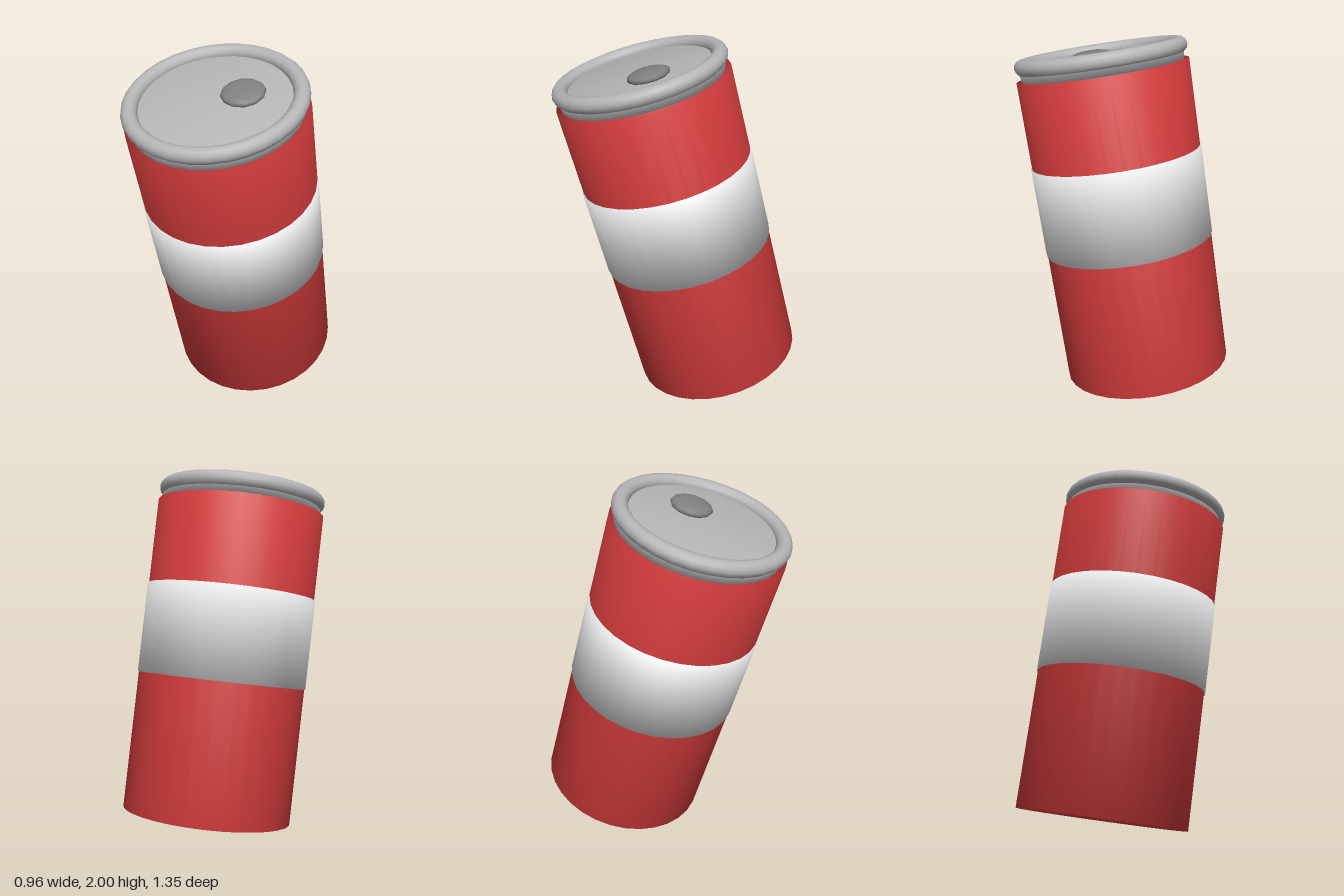
import * as THREE from 'three';

const SIDES = 32;

const material = (name, color) => {
  const m = new THREE.MeshStandardMaterial({ color });
  m.name = name;
  return m;
};

// Closed drum whose normals blend smoothly over the rims
function drum(bottomRadius, topRadius, y0, y1) {
  const profile = [[0, y0], [bottomRadius, y0], [topRadius, y1], [0, y1]];
  return new THREE.LatheGeometry(profile.map(([r, y]) => new THREE.Vector2(r, y)), SIDES);
}

export function createModel() {
  const red = material('red paint', 0xd13b3b);
  const white = material('white paint', 0xeeeeee);
  const metal = material('light metal', 0xb5b5b8);
  const darkMetal = material('dark metal', 0x808083);

  const can = new THREE.Group();
  can.name = 'can';
  const add = (name, geometry, mat) => {
    const mesh = new THREE.Mesh(geometry, mat);
    mesh.name = name;
    can.add(mesh);
    return mesh;
  };

  // Body with a slightly proud label band
  add('body', drum(0.467, 0.467, 0, 1.715), red);
  add('labelBand', drum(0.473, 0.473, 0.75, 1.245), white);

  // Neck and lid in one drum, ringed by a rolled rim
  add('lid', drum(0.437, 0.449, 1.7, 1.79), metal);
  const rim = add('rim', new THREE.TorusGeometry(0.425, 0.042, 12, SIDES), metal);
  rim.rotation.x = -Math.PI / 2;
  rim.position.y = 1.79;

  // Flattened pull tab
  const tab = add('pullTab', new THREE.SphereGeometry(0.114, 12, 8), darkMetal);
  tab.scale.y = 0.27;
  tab.position.set(0.118, 1.803, -0.076);

  // The can leans forward, balanced on the front of its base
  can.rotation.set(THREE.MathUtils.degToRad(14.3), 0, THREE.MathUtils.degToRad(0.75));
  can.position.set(0.01, 0.116, -0.218);

  const model = new THREE.Group();
  model.name = 'tiltedCan';
  model.add(can);
  return model;
}
